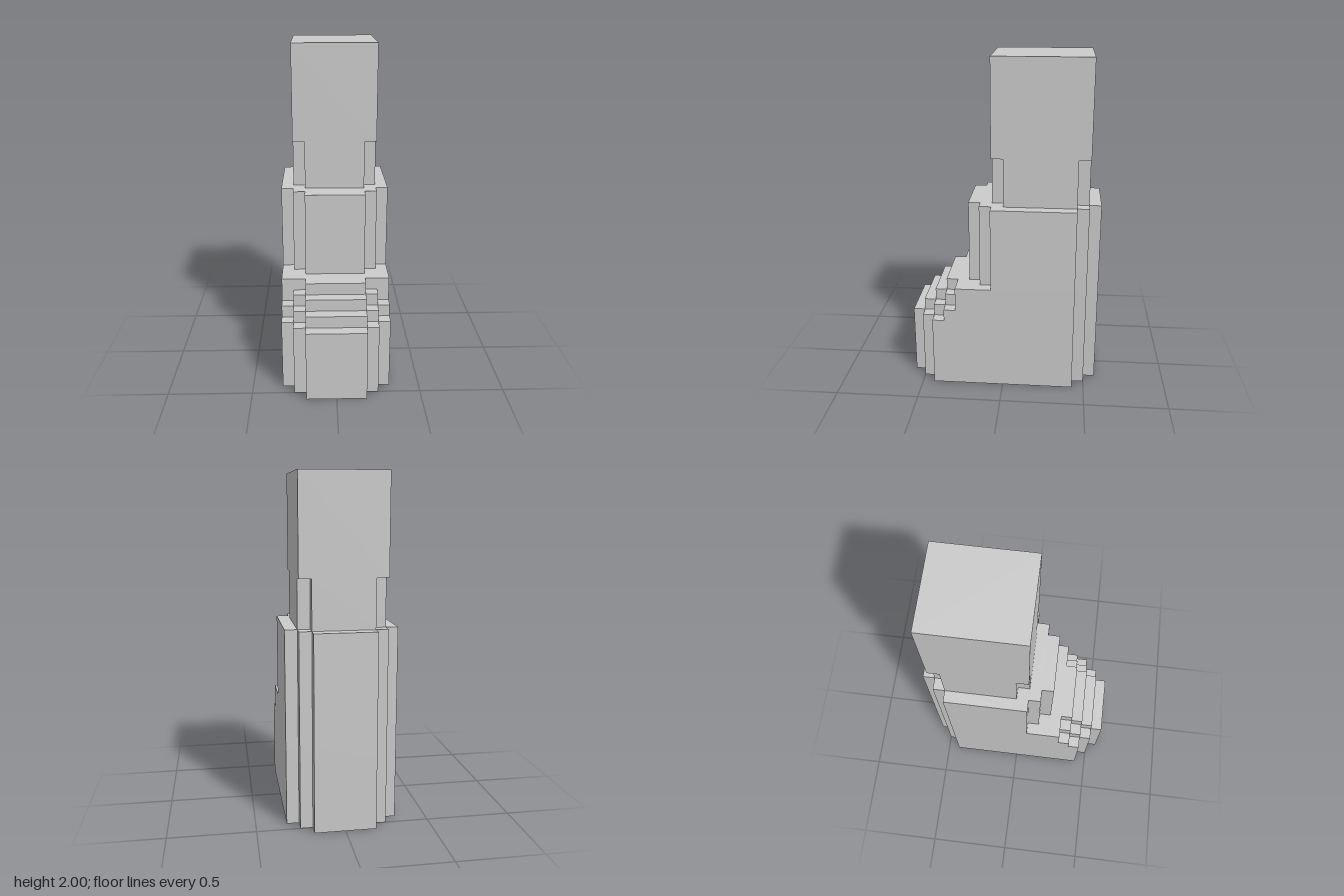
import * as THREE from 'three';

const U = 1 / 14; // one block

// Outline of a layer from mirrored strips [halfWidth, frontZ, backZ], innermost first.
function footprint(strips) {
  const right = [];
  strips.forEach(([w, f], i) => {
    right.push([w, f]);
    if (i + 1 < strips.length) right.push([w, strips[i + 1][1]]);
  });
  for (let i = strips.length - 1; i >= 0; i--) {
    const [w, , b] = strips[i];
    if (i + 1 < strips.length) right.push([w, strips[i + 1][2]]);
    right.push([w, b]);
  }
  const left = right.map(([x, z]) => [-x, z]).reverse();
  const points = [...right, ...left]
    .filter((p, i, all) => i === 0 || p[0] !== all[i - 1][0] || p[1] !== all[i - 1][1])
    .map(([x, z]) => new THREE.Vector2(x * U, -z * U));
  return new THREE.Shape(points);
}

// Upright slab with the given footprint between two heights.
function slab(name, bottom, top, strips, material) {
  const geometry = new THREE.ExtrudeGeometry(footprint(strips), {
    depth: (top - bottom) * U,
    bevelEnabled: false,
  });
  geometry.rotateX(-Math.PI / 2);
  geometry.translate(0, bottom * U, 0);
  const mesh = new THREE.Mesh(geometry, material);
  mesh.name = name;
  return mesh;
}

export function createModel() {
  const group = new THREE.Group();
  group.name = 'steppedTower';
  const material = new THREE.MeshStandardMaterial({ color: 0xcccccc, flatShading: true });

  // Strips of the wide body: the back corners stay the same, only the front recedes.
  const body = (inner, middle, outer) => [[2.5, inner, -8], [3.5, middle, -7], [4.5, outer, -6]];

  const layers = [
    // Base and the stepped front
    ['base', 0, 6, body(8, 7, 6)],
    ['lowerStep', 6, 7, body(7, 6, 5)],
    ['middleStep', 7, 8, body(6, 5, 4)],
    ['upperStep', 8, 9, body(5, 4, 4)],
    // Main shaft with stepped corners
    ['shaft', 9, 16, body(3, 2, 1)],
    // Neck with notched corners
    ['neck', 16, 20, [[2.5, 1, -7], [3.5, 0, -6]]],
    // Plain block on top
    ['topBlock', 20, 28, [[3.5, 1, -7]]],
  ];
  for (const [name, bottom, top, strips] of layers) {
    group.add(slab(name, bottom, top, strips, material));
  }
  return group;
}
